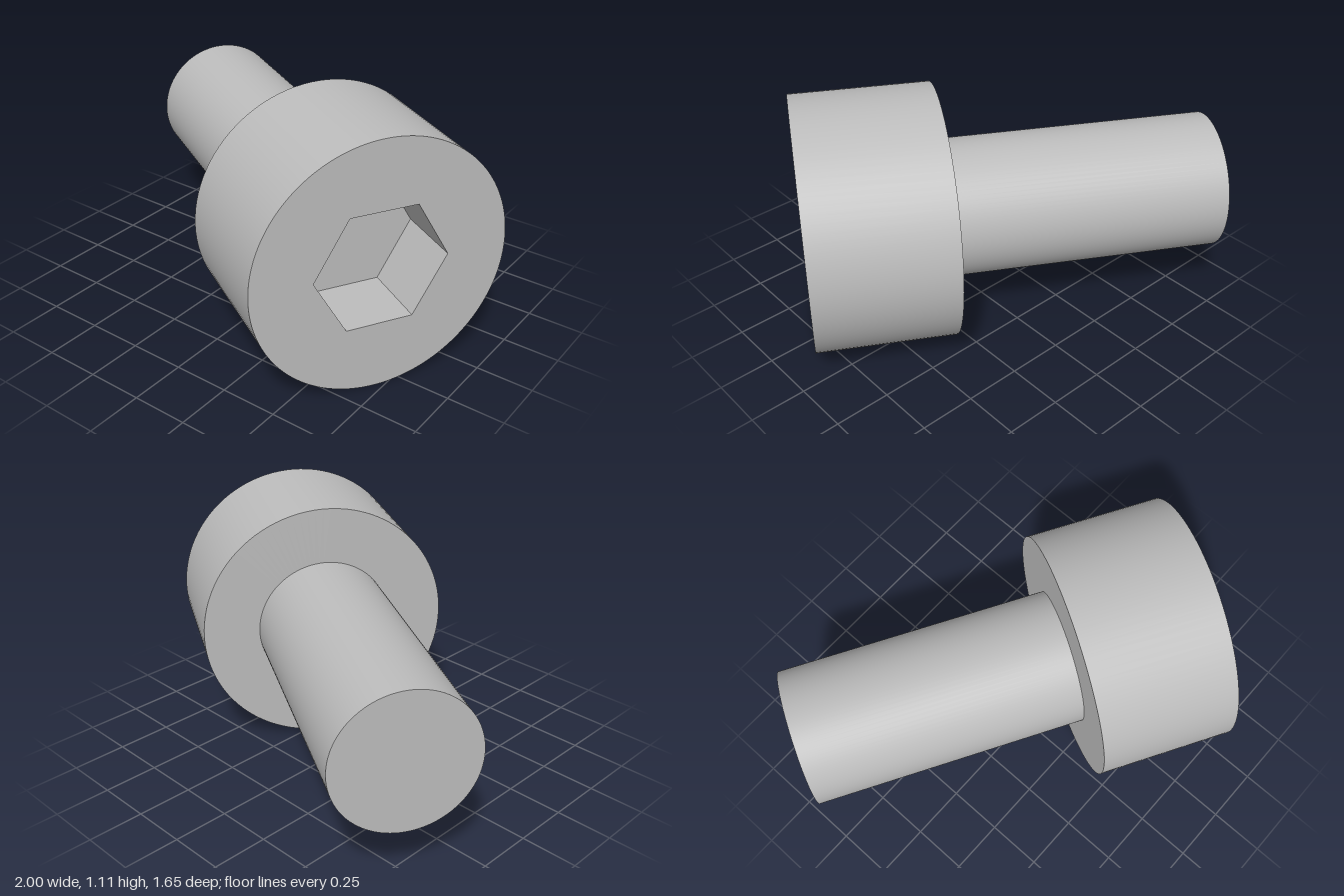
import * as THREE from 'three';
import { mergeGeometries } from 'three/addons/utils/BufferGeometryUtils.js';

const S = 0.20163; // one design unit
const HEAD_R = 2.75 * S, HEAD_LEN = 3 * S;
const SHAFT_R = 1.5 * S, SHAFT_LEN = 6 * S;
const FLAT = 1.25 * S, DEPTH = 1.5 * S; // socket half width across flats, and depth
const CORNER = FLAT / Math.cos(Math.PI / 6);
const SEG = 96;

export function createModel() {
  const steel = new THREE.MeshStandardMaterial({ color: 0xbcbcbc });
  steel.name = 'steelGrey';

  // The screw runs along local z, with the head's face at z = 0
  const screw = new THREE.Group();
  screw.name = 'socketScrew';
  const add = (name, geometry, z = 0) => {
    const mesh = new THREE.Mesh(geometry, steel);
    mesh.name = name;
    mesh.position.z = z;
    screw.add(mesh);
  };
  const tube = (r, length) =>
    new THREE.CylinderGeometry(r, r, length, SEG, 1, true).rotateX(Math.PI / 2);

  // Head: side wall, underside and face with a hexagonal opening
  add('headSide', tube(HEAD_R, HEAD_LEN), -HEAD_LEN / 2);
  add('headUnderside', new THREE.RingGeometry(SHAFT_R, HEAD_R, SEG).rotateY(Math.PI), -HEAD_LEN);

  const face = new THREE.Shape().absarc(0, 0, HEAD_R, 0, Math.PI * 2);
  const hexagon = [];
  for (let i = 0; i < 6; i++) {
    const a = -i * Math.PI / 3;
    hexagon.push(new THREE.Vector2(Math.cos(a) * CORNER, Math.sin(a) * CORNER));
  }
  face.holes.push(new THREE.Path(hexagon));
  add('headFace', new THREE.ShapeGeometry(face, SEG));

  // Socket: six inward-facing walls and a flat floor
  const walls = [];
  for (let i = 0; i < 6; i++) {
    walls.push(new THREE.PlaneGeometry(CORNER, DEPTH)
      .rotateX(Math.PI / 2)
      .translate(0, FLAT, -DEPTH / 2)
      .rotateZ(i * Math.PI / 3));
  }
  add('socketWalls', mergeGeometries(walls));
  add('socketFloor', new THREE.CircleGeometry(CORNER, 6), -DEPTH);

  // Plain shaft with a flat end
  add('shaft', tube(SHAFT_R, SHAFT_LEN), -HEAD_LEN - SHAFT_LEN / 2);
  add('shaftEnd', new THREE.CircleGeometry(SHAFT_R, SEG).rotateY(Math.PI), -HEAD_LEN - SHAFT_LEN);

  // Lying turned, the head rim touching the ground
  screw.rotation.y = Math.PI / 3;
  screw.position.set(0.7228, HEAD_R, 0.3445);

  const model = new THREE.Group();
  model.name = 'screwModel';
  model.add(screw);
  return model;
}
